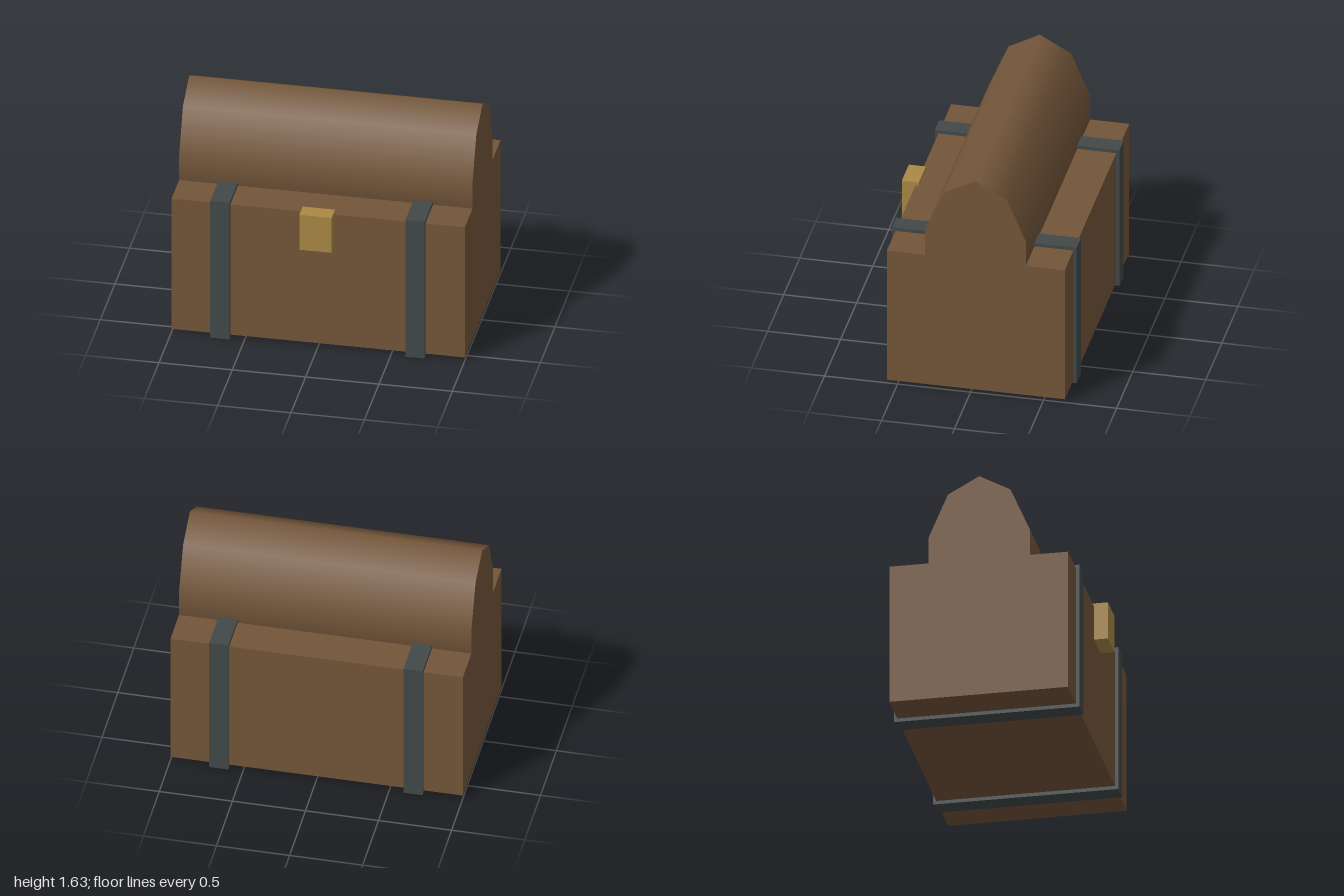
import * as THREE from 'three';

const material = (name, color) => {
  const m = new THREE.MeshStandardMaterial({ color });
  m.name = name;
  return m;
};

export function createModel() {
  const chest = new THREE.Group();
  chest.name = 'chest';
  const wood = material('brown wood', 0x74563a);
  const iron = material('dark iron', 0x424949);
  const brass = material('brass', 0xab8946);

  // Box spanning [x0,x1] x [y0,y1] x [z0,z1]
  const addBox = (name, mat, [x0, x1], [y0, y1], [z0, z1]) => {
    const mesh = new THREE.Mesh(new THREE.BoxGeometry(x1 - x0, y1 - y0, z1 - z0), mat);
    mesh.position.set((x0 + x1) / 2, (y0 + y1) / 2, (z0 + z1) / 2);
    mesh.name = name;
    chest.add(mesh);
  };

  // Body
  addBox('body', wood, [-1, 1], [0.025, 1.022], [-0.645, 0.573]);

  // Lid: upper half of a stretched ten-sided barrel lying along x
  const lidGeometry = new THREE.CylinderGeometry(1, 1, 2, 10, 1, false, 0, Math.PI * 2);
  lidGeometry.rotateY(Math.PI / 2);
  lidGeometry.rotateZ(Math.PI / 2);
  lidGeometry.scale(1, 0.612, 0.363);
  // Sink the hidden lower half into the body
  const pos = lidGeometry.attributes.position;
  for (let i = 0; i < pos.count; i++) pos.setY(i, Math.max(pos.getY(i), 0));
  const lid = new THREE.Mesh(lidGeometry, wood);
  lid.name = 'lid';
  lid.position.set(0, 1.022, -0.033);
  chest.add(lid);

  // Straps wrapped around the body
  for (const [name, x] of [['leftStrap', 0.665], ['rightStrap', -0.665]]) {
    addBox(name, iron, [x - 0.066, x + 0.066], [0, 1.047], [-0.667, 0.597]);
  }

  // Latch
  addBox('latch', brass, [-0.11, 0.11], [0.78, 1.047], [0.55, 0.667]);
  return chest;
}
